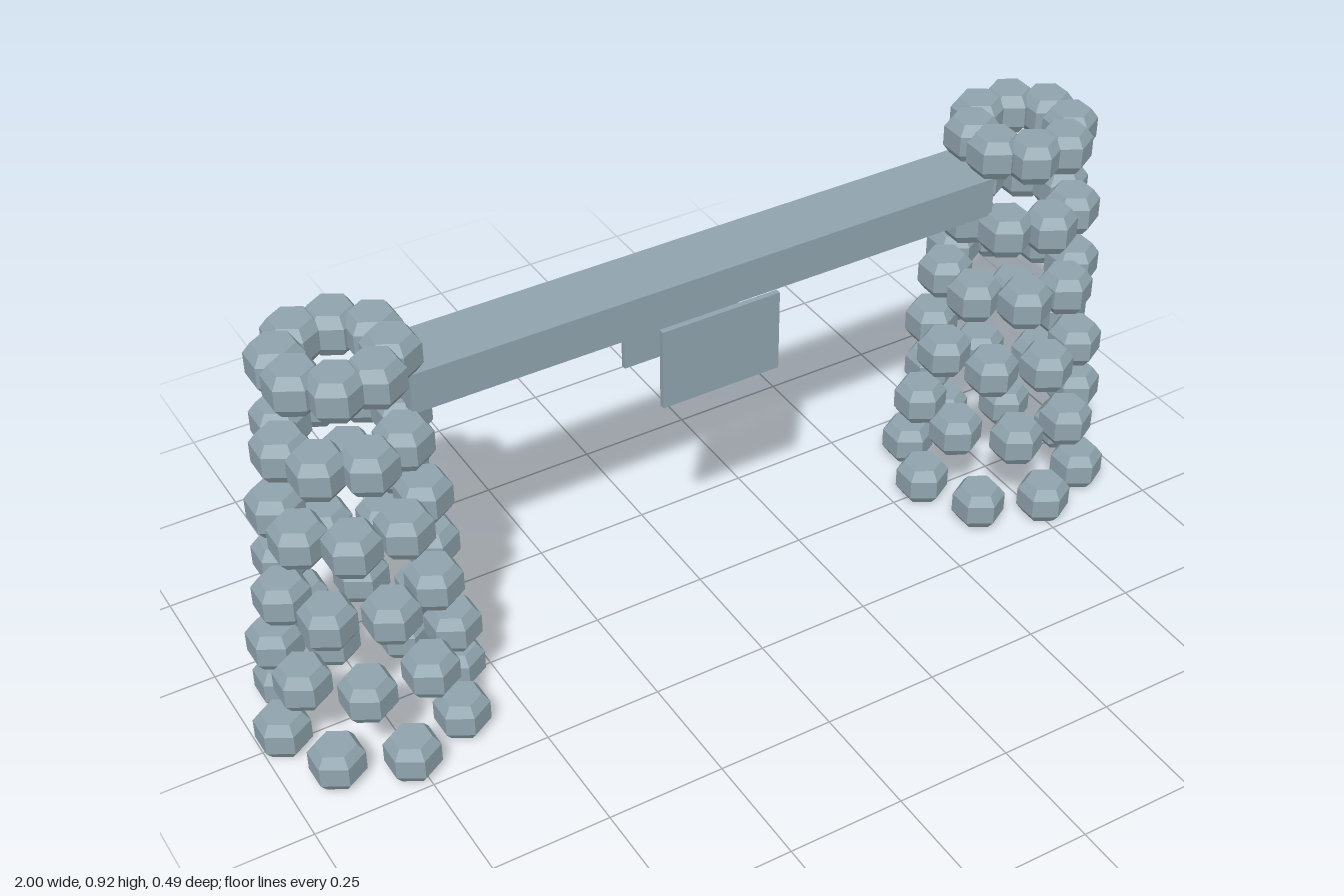
import * as THREE from 'three';

export function createModel() {
  const model = new THREE.Group();
  const stoneGrey = new THREE.MeshStandardMaterial({ color: 0x90a4ae });
  stoneGrey.name = 'stoneGrey';
  stoneGrey.flatShading = true;

  // Six-sided stone with chamfered top and bottom, corners pointing along z
  const profile = [[0, -0.0435], [0.041, -0.0435], [0.057, -0.022], [0.057, 0.022], [0.041, 0.0435], [0, 0.0435]];
  const stoneShape = new THREE.LatheGeometry(profile.map(([r, y]) => new THREE.Vector2(r, y)), 6);

  // Tower of six narrowing rings, every second one turned by half a step
  function tower(name, x) {
    const group = new THREE.Group();
    group.name = name;
    for (let ring = 0; ring < 6; ring++) {
      const radius = 0.19 - 0.0175 * ring;
      for (let i = 0; i < 8; i++) {
        const a = ((i + (ring % 2) / 2) * Math.PI) / 4;
        const stone = new THREE.Mesh(stoneShape, stoneGrey);
        stone.name = 'towerStone';
        stone.position.set(Math.cos(a) * radius, 0.0435 + 0.1656 * ring, Math.sin(a) * radius);
        group.add(stone);
      }
    }
    group.position.x = x;
    model.add(group);
  }
  tower('leftTower', 0.763);
  tower('rightTower', -0.763);

  function box(name, w, h, d, y, z) {
    const mesh = new THREE.Mesh(new THREE.BoxGeometry(w, h, d), stoneGrey);
    mesh.name = name;
    mesh.position.set(0, y, z);
    model.add(mesh);
  }

  // Crossbeam with a hanging plate on each face
  box('crossbeam', 1.3, 0.087, 0.138, 0.787, 0);
  box('frontPlate', 0.264, 0.18, 0.012, 0.653, 0.076);
  box('backPlate', 0.264, 0.18, 0.012, 0.653, -0.076);

  return model;
}
